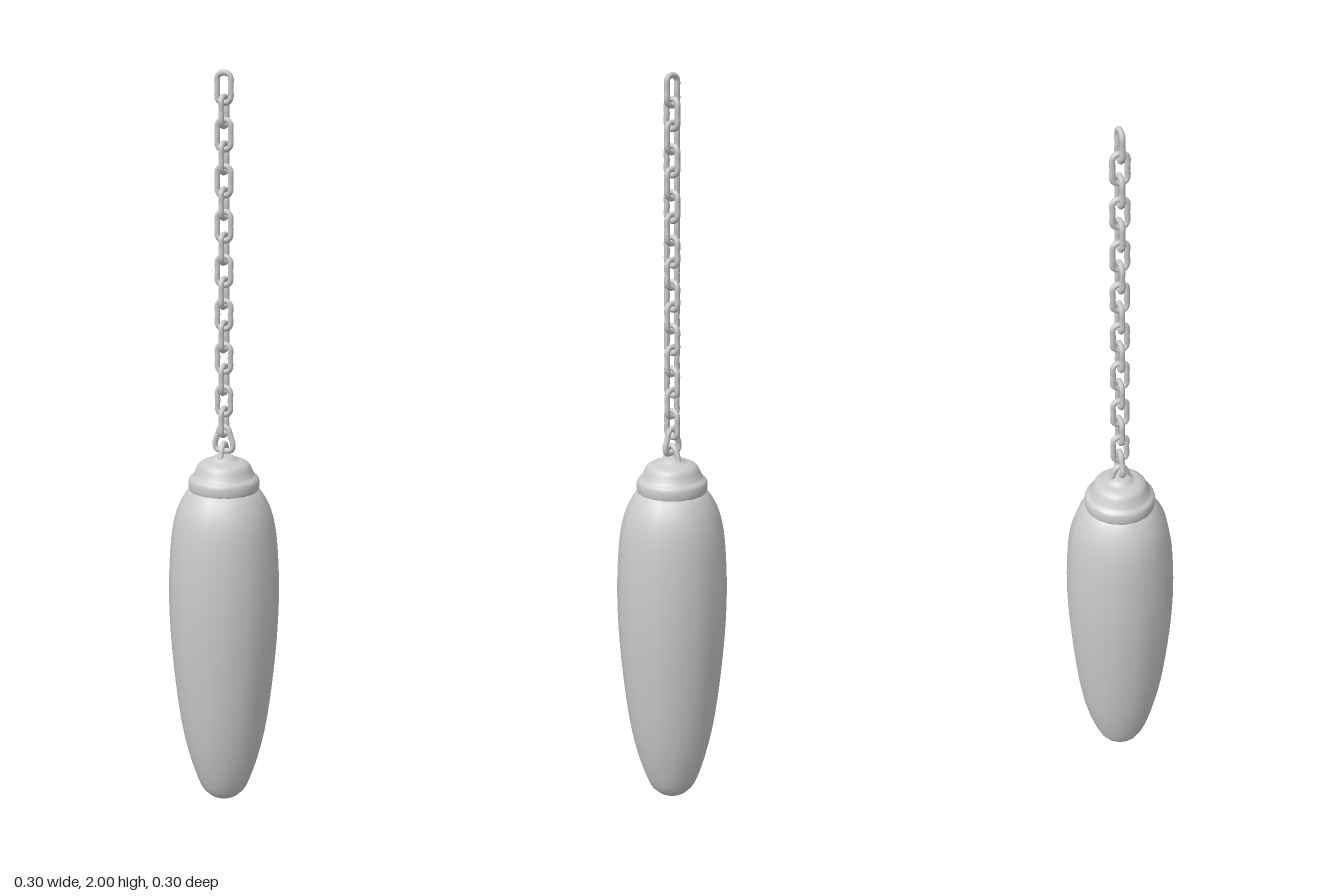
import * as THREE from 'three';

const material = new THREE.MeshStandardMaterial({ color: 0xcccccc });
const openMaterial = new THREE.MeshStandardMaterial({ color: 0xcccccc, side: THREE.DoubleSide });

function add(parent, name, geometry, mat = material) {
  const mesh = new THREE.Mesh(geometry, mat);
  mesh.name = name;
  parent.add(mesh);
  return mesh;
}

// Smooth lathe through a few [radius, height] points
function turned(points, divisions, sides) {
  const curve = new THREE.CatmullRomCurve3(points.map(([r, y]) => new THREE.Vector3(r, y, 0)));
  const profile = curve.getPoints(divisions).map(p => new THREE.Vector2(Math.max(p.x, 0), p.y));
  return new THREE.LatheGeometry(profile, sides);
}

// Round wire bent along [x, y] points in the front plane
function wire(points, radius, segments, closed) {
  const curve = new THREE.CatmullRomCurve3(
    points.map(([x, y]) => new THREE.Vector3(x, y, 0)), closed, 'centripetal');
  return new THREE.TubeGeometry(curve, segments, radius, 8, closed);
}

export function createModel() {
  const group = new THREE.Group();
  group.name = 'hangingWeight';

  // Tapered body with sixteen sides
  add(group, 'body', turned([
    [0, 0.003], [0.03, 0.007], [0.058, 0.03], [0.082, 0.082], [0.113, 0.2], [0.139, 0.4],
    [0.15, 0.58], [0.147, 0.72], [0.136, 0.82], [0.116, 0.88], [0.085, 0.92], [0, 0.935],
  ], 44, 16));

  // Stepped cap with a small central rise
  add(group, 'cap', turned([
    [0.083, 0.903], [0.091, 0.908], [0.095, 0.922], [0.093, 0.942], [0.083, 0.952],
    [0.077, 0.963], [0.068, 0.981], [0.054, 0.99], [0.038, 0.994], [0.024, 1.004], [0, 1.008],
  ], 40, 40), openMaterial);

  // Flared eye rising from the cap
  const eye = add(group, 'capEye', wire([
    [-0.026, 0.993], [-0.021, 1.008], [-0.012, 1.03], [0, 1.038],
    [0.012, 1.03], [0.021, 1.008], [0.026, 0.993],
  ], 0.0075, 28, false));
  eye.rotation.y = Math.PI / 2;

  // Pear-shaped shackle through the eye
  add(group, 'shackle', wire([
    [0, 1.084], [0.012, 1.078], [0.019, 1.058], [0.026, 1.036], [0.021, 1.022],
    [0, 1.018], [-0.021, 1.022], [-0.026, 1.036], [-0.019, 1.058], [-0.012, 1.078],
  ], 0.0078, 36, true));

  // Chain of sixteen links, each turned a quarter from the next
  const linkGeometry = wire([
    [0.01, 0.035], [0.018, 0.026], [0.018, 0], [0.018, -0.026], [0.01, -0.035],
    [-0.01, -0.035], [-0.018, -0.026], [-0.018, 0], [-0.018, 0.026], [-0.01, 0.035],
  ], 0.0075, 36, true);
  const chain = new THREE.Group();
  chain.name = 'chain';
  for (let i = 0; i < 16; i++) {
    const link = add(chain, 'chainLink', linkGeometry);
    link.position.y = 1.957 - i * 0.0573;
    link.rotation.y = (i % 2) * Math.PI / 2;
  }
  group.add(chain);

  return group;
}
